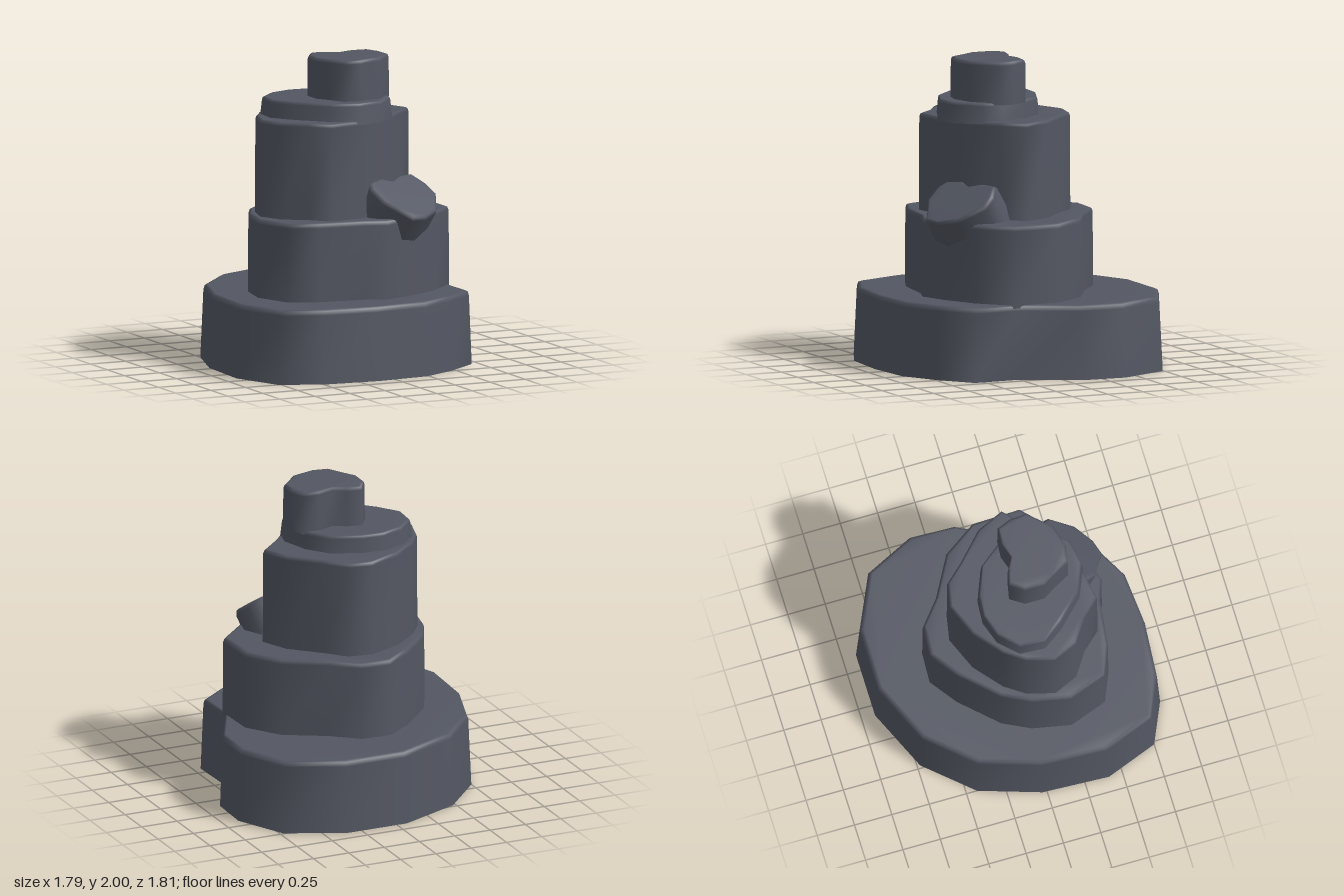
import * as THREE from 'three';

// Outlines as [x, z] seen from above, running back -> right -> front -> left
const BASE = [[-0.07, -0.91], [0.36, -0.91], [0.73, -0.74], [0.89, -0.41], [0.88, -0.11], [0.69, 0.26], [0.70, 0.57], [0.48, 0.74],
  [0.24, 0.87], [-0.12, 0.90], [-0.50, 0.87], [-0.77, 0.75], [-0.90, 0.41], [-0.88, -0.03], [-0.75, -0.43], [-0.48, -0.73]];
const LOWER = [[-0.12, -0.56], [0.08, -0.55], [0.25, -0.41], [0.52, -0.26], [0.67, -0.04], [0.68, 0.28], [0.48, 0.47], [0.27, 0.58],
  [0.07, 0.65], [-0.07, 0.60], [-0.38, 0.56], [-0.57, 0.48], [-0.66, 0.23], [-0.61, -0.02], [-0.52, -0.20], [-0.30, -0.43]];
const MIDDLE = [[-0.06, -0.41], [0.10, -0.38], [0.22, -0.25], [0.40, -0.08], [0.48, 0.10], [0.34, 0.23], [0.22, 0.36], [0.03, 0.47],
  [-0.27, 0.52], [-0.38, 0.40], [-0.53, 0.30], [-0.60, 0.14], [-0.55, -0.04], [-0.46, -0.17], [-0.28, -0.32]];
const UPPER = [[-0.23, -0.24], [-0.08, -0.23], [0.12, -0.15], [0.23, -0.01], [0.29, 0.18], [0.26, 0.31], [0.12, 0.46],
  [-0.05, 0.49], [-0.24, 0.41], [-0.41, 0.24], [-0.51, 0.10], [-0.50, -0.07], [-0.38, -0.19]];
const HEART = [[-0.16, -0.04], [-0.06, -0.02], [0.02, 0.025], [0.13, -0.01], [0.24, 0], [0.28, 0.10], [0.285, 0.21], [0.15, 0.35],
  [0, 0.39], [-0.11, 0.37], [-0.17, 0.26], [-0.22, 0.18], [-0.22, 0.05]];

// Open-bottomed slab: tapering wall, small bevel and a flat cap
function slabGeometry(outline, y0, y1, taper, bevel) {
  const n = outline.length;
  const cx = outline.reduce((s, p) => s + p[0], 0) / n;
  const cz = outline.reduce((s, p) => s + p[1], 0) / n;
  const radius = outline.reduce((s, p) => s + Math.hypot(p[0] - cx, p[1] - cz), 0) / n;
  const shoulder = 1 - taper / radius;
  const rings = [
    [y0, 1],
    [y1 - bevel, shoulder],
    [y1 - bevel * 0.25, shoulder - bevel * 0.25 / radius],
    [y1, shoulder - bevel * 0.8 / radius],
  ];
  const positions = [], index = [];
  for (const [y, s] of rings) {
    for (const [x, z] of outline) positions.push(cx + (x - cx) * s, y, cz + (z - cz) * s);
  }
  for (let r = 0; r < rings.length - 1; r++) {
    for (let i = 0; i < n; i++) {
      const a = r * n + i, b = r * n + (i + 1) % n;
      index.push(a, a + n, b, b, a + n, b + n);
    }
  }
  // Cap, with every triangle turned to face up
  const flat = outline.map(([x, z]) => new THREE.Vector2(x, z));
  const top = (rings.length - 1) * n;
  for (const [a, b, c] of THREE.ShapeUtils.triangulateShape(flat, [])) {
    const up = THREE.ShapeUtils.area([flat[a], flat[b], flat[c]]) < 0;
    index.push(top + a, top + (up ? b : c), top + (up ? c : b));
  }
  const geometry = new THREE.BufferGeometry();
  geometry.setAttribute('position', new THREE.Float32BufferAttribute(positions, 3));
  geometry.setIndex(index);
  geometry.computeVertexNormals();
  return geometry;
}

export function createModel() {
  const group = new THREE.Group();
  group.name = 'stackedRocks';
  const stone = new THREE.MeshStandardMaterial({ color: 0x535762, side: THREE.DoubleSide });
  stone.name = 'slate stone';

  const add = (name, ...args) => {
    const mesh = new THREE.Mesh(slabGeometry(...args), stone);
    mesh.name = name;
    group.add(mesh);
    return mesh;
  };

  // Stack of slabs from the ground up
  add('baseSlab', BASE, 0, 0.48, 0.02, 0.035);
  add('lowerSlab', LOWER, 0.46, 0.99, 0.003, 0.03);
  add('middleSlab', MIDDLE, 0.97, 1.62, 0.003, 0.025);
  add('upperSlab', UPPER, 1.60, 1.735, 0.012, 0.02);
  add('topStone', HEART, 1.72, 2, 0.002, 0.025);

  // Loose stone leaning on the ledge, shaped like the top one
  const centred = HEART.map(([x, z]) => [x - 0.03, z - 0.17]);
  const leaning = add('leaningStone', centred, -0.27, 0, 0.002, 0.025);
  const axis = new THREE.Vector3(0.22, 0.82, 0.53).normalize();
  leaning.quaternion.setFromUnitVectors(new THREE.Vector3(0, 1, 0), axis)
    .multiply(new THREE.Quaternion().setFromAxisAngle(new THREE.Vector3(0, 1, 0), 0.44));
  leaning.position.set(0.28, 1.12, 0.5);

  return group;
}
